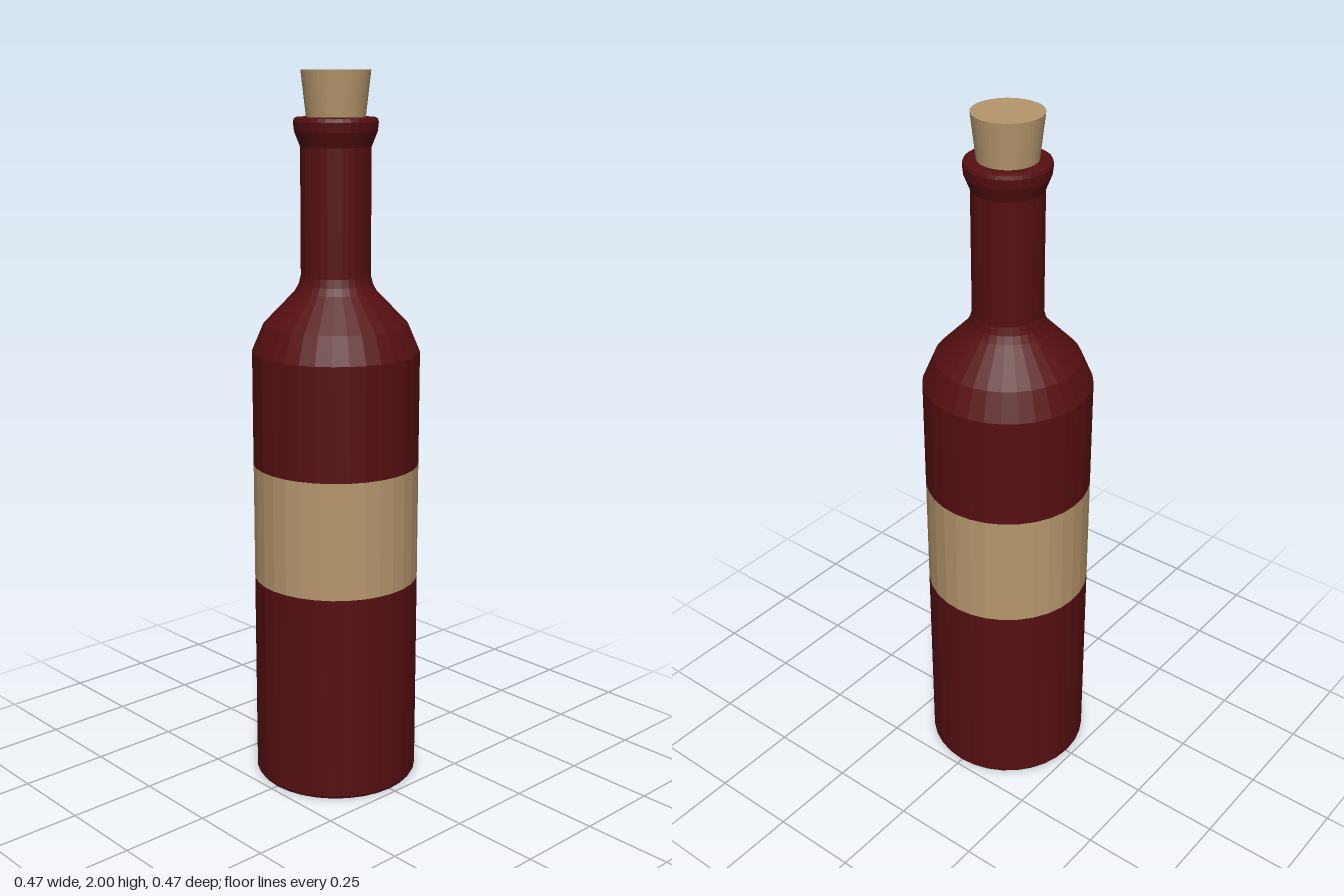
import * as THREE from 'three';

const SIDES = 32;

export function createModel() {
  const glass = new THREE.MeshStandardMaterial({ name: 'dark red glass', color: 0x560f11, flatShading: true });
  const tan = new THREE.MeshStandardMaterial({ name: 'tan cork and paper', color: 0xb5966c, flatShading: true });

  const bottle = new THREE.Group();
  bottle.name = 'bottle';

  // Turned part from [radius, height] pairs, listed bottom to top
  const turn = (name, material, profile, sides = SIDES) => {
    const points = profile.map(([r, y]) => new THREE.Vector2(r, y));
    const mesh = new THREE.Mesh(new THREE.LatheGeometry(points, sides), material);
    mesh.name = name;
    bottle.add(mesh);
  };

  // Lower body with closed base
  turn('lowerBody', glass, [[0, 0], [0.228, 0], [0.233, 0.008], [0.233, 0.595]]);

  // Paper band, flush with the glass
  turn('label', tan, [[0.233, 0.595], [0.233, 0.927]]);

  // Upper body, shoulder, neck and flared lip
  turn('upperBody', glass, [
    [0.233, 0.927], [0.233, 1.245], [0.2, 1.322], [0.113, 1.412],
    [0.102, 1.432], [0.096, 1.455], [0.096, 1.8], [0.112, 1.84],
    [0.115, 1.866], [0.112, 1.875], [0.105, 1.878], [0.07, 1.878],
  ]);

  // Tapered stopper
  turn('cork', tan, [[0.078, 1.86], [0.094, 2], [0, 2]], 48);

  return bottle;
}
